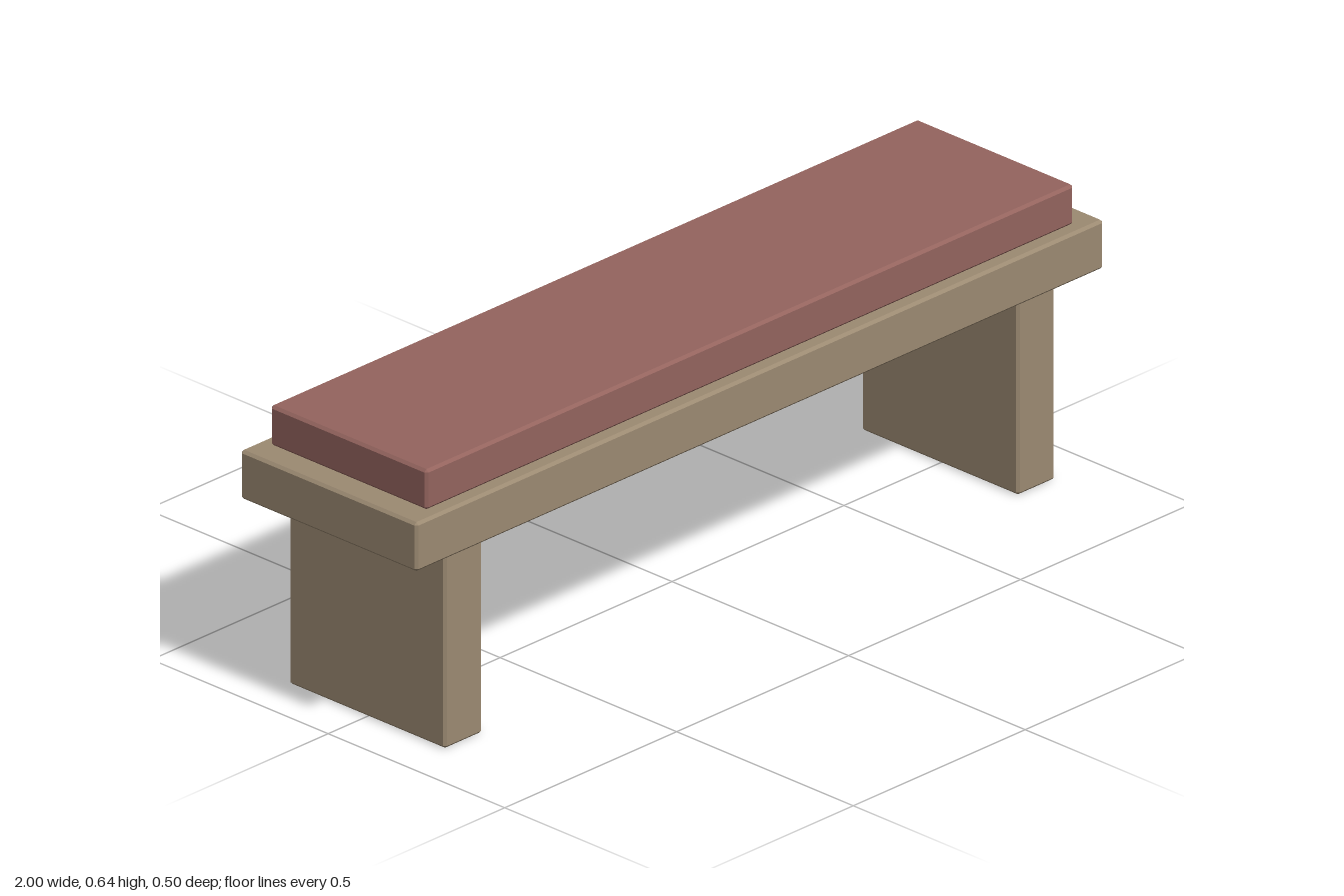
import * as THREE from 'three';
import { ConvexGeometry } from 'three/addons/geometries/ConvexGeometry.js';

// Box with every edge cut by a small flat chamfer
function chamferBox(w, h, d, c = 0.006) {
  const points = [];
  for (const x of [-1, 1]) for (const y of [-1, 1]) for (const z of [-1, 1]) {
    for (let axis = 0; axis < 3; axis++) {
      const inset = [c, c, c];
      inset[axis] = 0; // this corner point lies on the face across the axis
      points.push(new THREE.Vector3(
        x * (w / 2 - inset[0]), y * (h / 2 - inset[1]), z * (d / 2 - inset[2])));
    }
  }
  return new ConvexGeometry(points);
}

export function createModel() {
  const wood = new THREE.MeshStandardMaterial({ color: 0x9c8a72 });
  wood.name = 'wood';
  const fabric = new THREE.MeshStandardMaterial({ color: 0x94645e });
  fabric.name = 'cushion fabric';

  const bench = new THREE.Group();
  bench.name = 'bench';

  const addBlock = (name, material, size, x, bottom) => {
    const mesh = new THREE.Mesh(chamferBox(...size), material);
    mesh.name = name;
    mesh.position.set(x, bottom + size[1] / 2, 0);
    bench.add(mesh);
  };

  // Slab legs, mirrored left and right
  for (const [name, side] of [['leftLeg', 1], ['rightLeg', -1]]) {
    addBlock(name, wood, [0.11, 0.445, 0.444], side * 0.833, 0);
  }

  // Seat plank and the cushion resting on it
  addBlock('seat', wood, [2, 0.11, 0.5], 0, 0.445);
  addBlock('cushion', fabric, [1.884, 0.09, 0.444], 0, 0.555);

  return bench;
}
